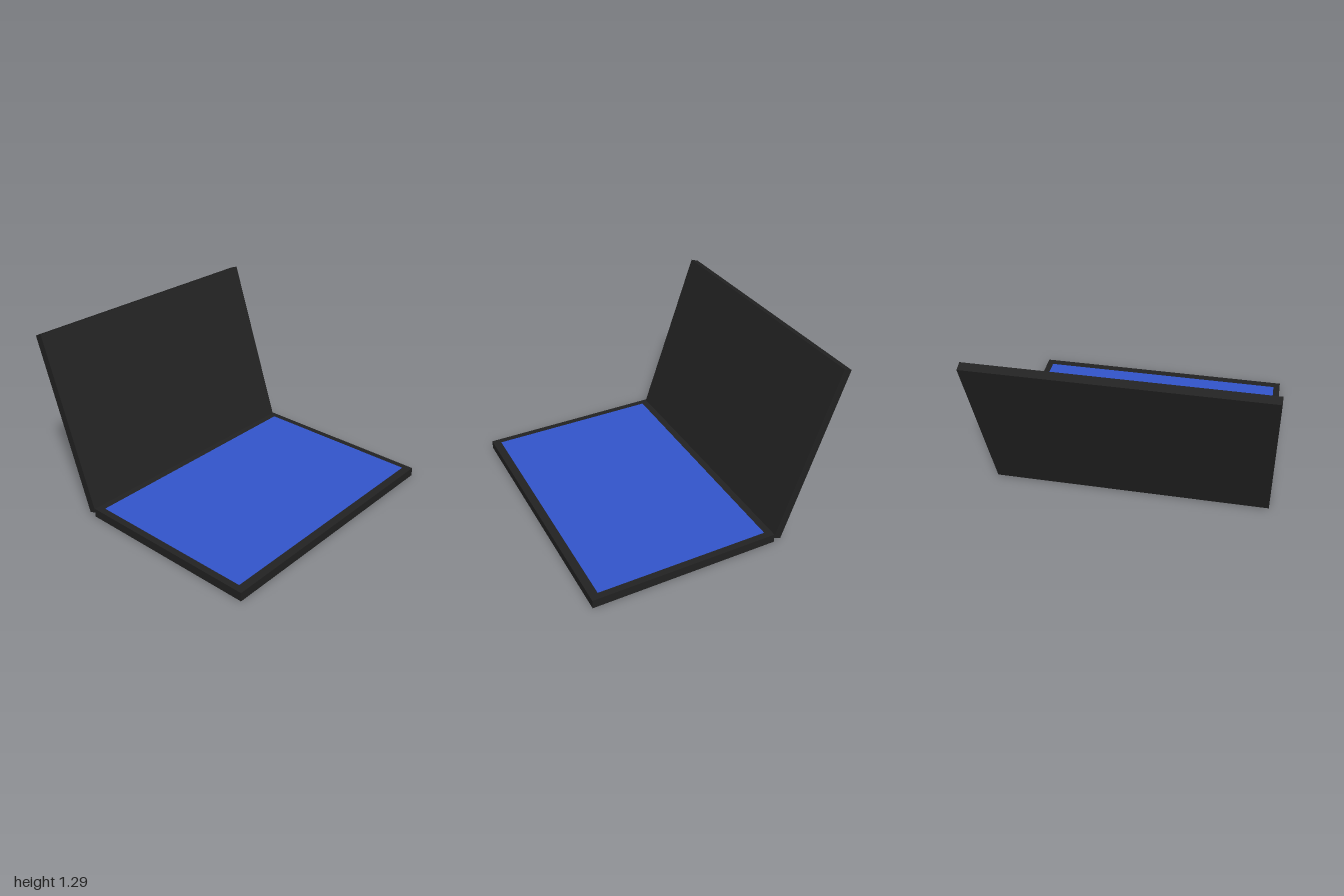
import * as THREE from 'three';

const dark = new THREE.MeshStandardMaterial({ color: 0x222222 });
const blue = new THREE.MeshStandardMaterial({ color: 0x3355cc });

function slab(name, size, position, material) {
  const mesh = new THREE.Mesh(new THREE.BoxGeometry(...size), material);
  mesh.name = name;
  mesh.position.set(...position);
  return mesh;
}

export function createModel() {
  const model = new THREE.Group();
  model.name = 'openLaptop';

  // flat base with a thin coloured panel on its top face
  model.add(slab('base', [2, 0.065, 1.395], [0, 0.0325, 0.2425], dark));
  model.add(slab('keyboardPanel', [1.9, 0.004, 1.28], [0, 0.065, 0.24], blue));

  // lid leaning back from the rear edge of the base
  const lid = slab('lid', [2, 1.327, 0.061], [0, 0.652, -0.695], dark);
  lid.rotation.x = -0.331;
  model.add(lid);

  return model;
}
